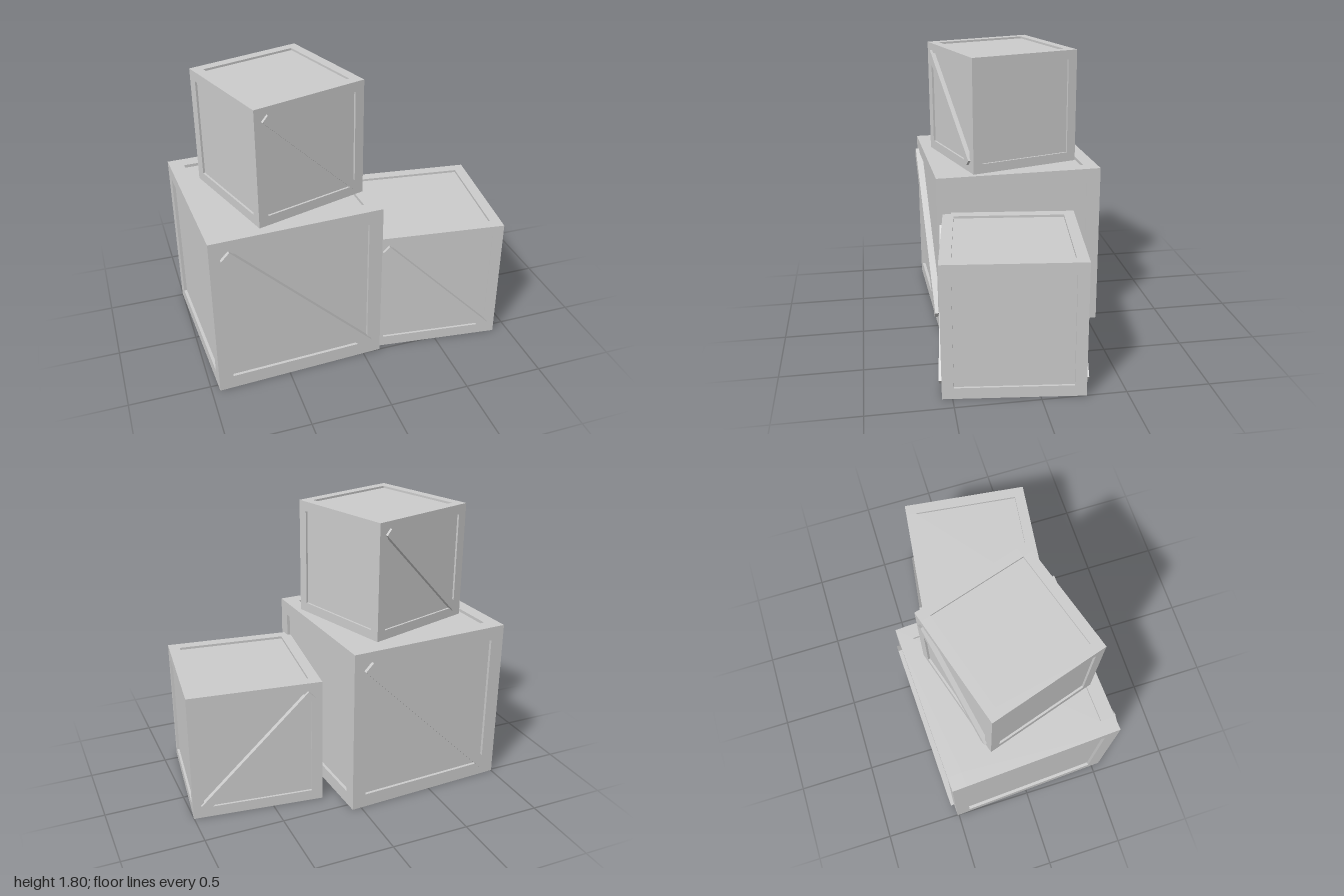
import * as THREE from 'three';

const material = new THREE.MeshStandardMaterial({ color: 0xcccccc, flatShading: true });

// Proportions of a crate of side 1
const BORDER = 0.083;  // width of the frame beams
const RECESS = 0.018;  // depth of the panels behind the frame
const PROUD = 0.022;   // how far the braces stand out of the frame
const BRACE_LENGTH = 1.177;
const BRACE_WIDTH = 0.068;

function addBox(parent, name, size, position) {
  const mesh = new THREE.Mesh(new THREE.BoxGeometry(...size), material);
  mesh.name = name;
  mesh.position.set(...position);
  parent.add(mesh);
  return mesh;
}

// Unit crate standing on y = 0; backSlope mirrors the brace on the back
function makeCrate(name, size, x, y, z, turn, backSlope) {
  const crate = new THREE.Group();
  crate.name = name;

  // Panels: one core slightly smaller than the frame
  const core = 1 - 2 * RECESS;
  addBox(crate, 'panels', [core, core, core], [0, 0.5, 0]);

  // Frame: four posts, with rails along x and z between them
  const frame = new THREE.Group();
  frame.name = 'frame';
  crate.add(frame);
  const c = 0.5 - BORDER / 2;
  const span = 1 - 2 * BORDER;
  for (const a of [-c, c]) {
    for (const b of [-c, c]) {
      addBox(frame, 'post', [BORDER, 1, BORDER], [a, 0.5, b]);
      addBox(frame, 'railAcross', [span, BORDER, BORDER], [0, 0.5 + a, b]);
      addBox(frame, 'railDeep', [BORDER, BORDER, span], [a, 0.5 + b, 0]);
    }
  }

  // Diagonal braces on front and back
  const depth = RECESS + PROUD;
  const offset = 0.5 + PROUD - depth / 2;
  const braceSize = [BRACE_LENGTH, BRACE_WIDTH, depth];
  addBox(crate, 'frontBrace', braceSize, [0, 0.5, offset]).rotation.z = -Math.PI / 4;
  addBox(crate, 'backBrace', braceSize, [0, 0.5, -offset]).rotation.z = backSlope * Math.PI / 4;

  crate.scale.setScalar(size);
  crate.position.set(x, y, z);
  crate.rotation.y = turn;
  return crate;
}

export function createModel() {
  const model = new THREE.Group();
  model.name = 'crateStack';
  model.add(
    makeCrate('largeCrate', 1.064, -0.445, 0, -0.005, 0.05, 1),
    makeCrate('sideCrate', 0.828, 0.541, 0, 0.1, -0.12, -1),
    makeCrate('topCrate', 0.732, -0.39, 1.064, 0.017, 0.297, 1),
  );
  return model;
}
